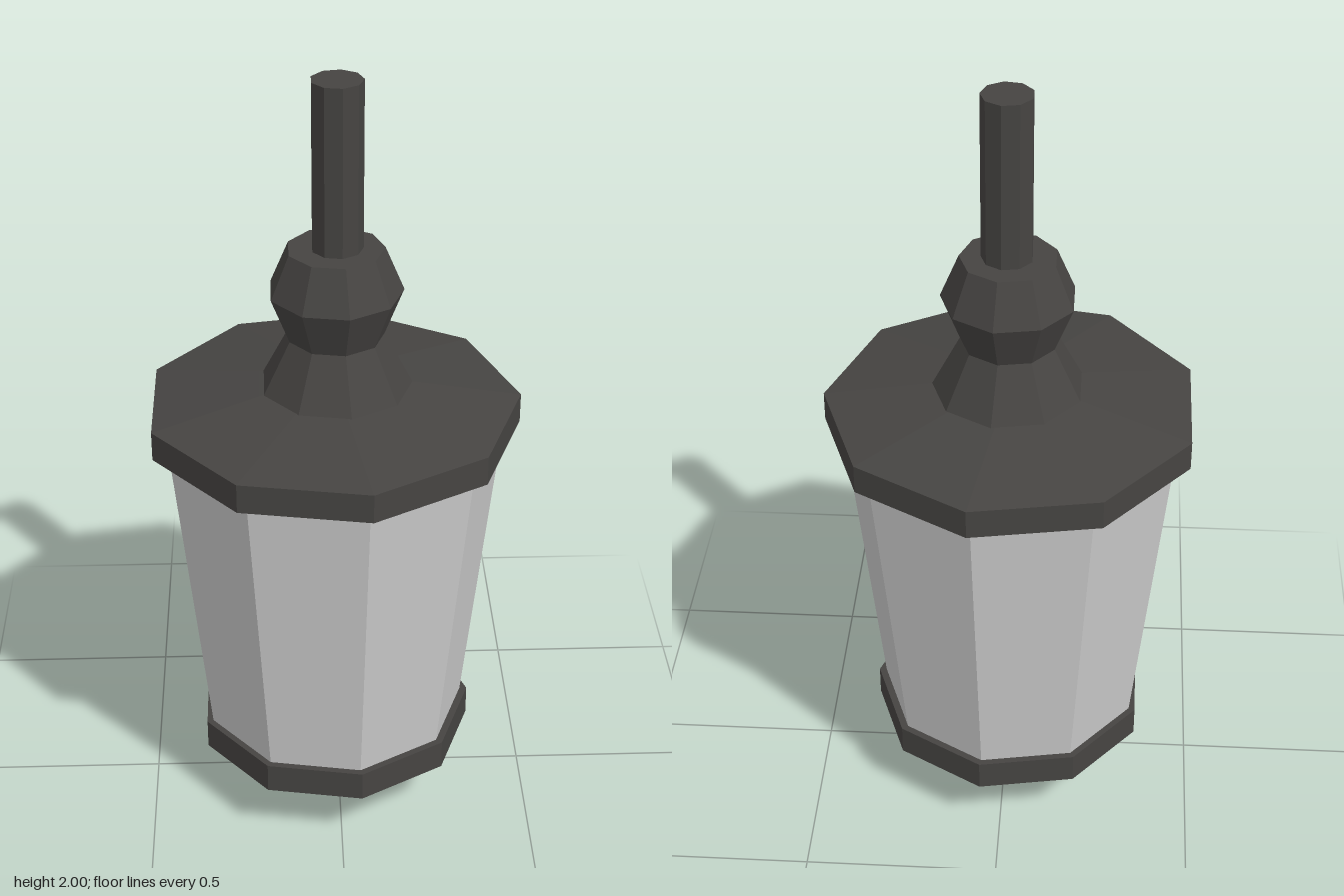
import * as THREE from 'three';

const SIDES = 9;
const iron = new THREE.MeshStandardMaterial({ color: 0x464442, flatShading: true });
const pane = new THREE.MeshStandardMaterial({ color: 0xcccccc, flatShading: true });

// Nine-sided solid from [radius, height] pairs, listed bottom to top, one corner facing +x
function turned(name, profile, material, x) {
  const points = profile.map(([r, y]) => new THREE.Vector2(r, y));
  const mesh = new THREE.Mesh(new THREE.LatheGeometry(points, SIDES, Math.PI / 2), material);
  mesh.name = name;
  mesh.position.x = x;
  return mesh;
}

export function createModel() {
  const lantern = new THREE.Group();
  lantern.name = 'lantern';

  lantern.add(
    // pointed drop under the base
    turned('finial', [[0, 0], [0.148, 0.083], [0.148, 0.122], [0, 0.122]], iron, -0.009),
    // tray holding the glass, with a sloping underside
    turned('base', [[0, 0.118], [0.15, 0.12], [0.364, 0.163], [0.364, 0.243], [0, 0.243]], iron, -0.012),
    // glass body widening upward
    turned('glass', [[0, 0.235], [0.345, 0.235], [0.432, 1.065], [0, 1.065]], pane, -0.013),
    // recessed collar between glass and roof
    turned('collar', [[0, 1.05], [0.376, 1.05], [0.376, 1.09], [0, 1.09]], iron, -0.013),
    // overhanging roof
    turned('roof', [[0, 1.086], [0.475, 1.086], [0.475, 1.162], [0.193, 1.206], [0, 1.235]], iron, -0.0145),
    // flared neck and knob
    turned('neck', [[0.193, 1.203], [0.121, 1.342], [0.168, 1.462], [0.121, 1.574], [0, 1.574]], iron, -0.006),
    // hanging rod
    turned('rod', [[0, 1.56], [0.064, 1.56], [0.064, 2], [0, 2]], iron, -0.002)
  );
  return lantern;
}
